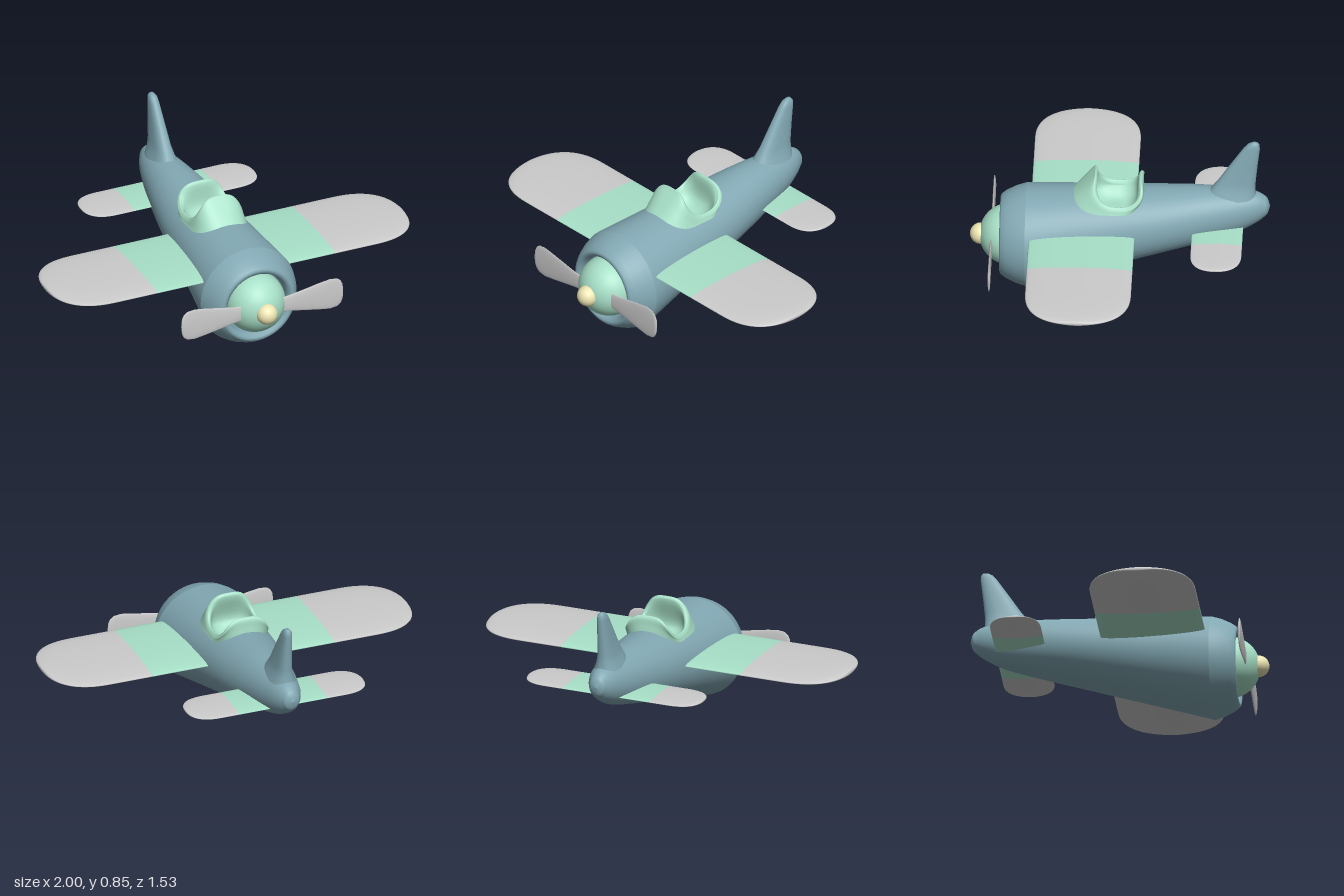
import * as THREE from 'three';

const mat = (color) => new THREE.MeshStandardMaterial({ color, side: THREE.DoubleSide });
const V = (x, y, z) => new THREE.Vector3(x, y, z);
const pw = (v, p) => Math.sign(v) * Math.abs(v) ** p;
const ring = (n, f) => Array.from({ length: n }, (_, i) => f((i / n) * Math.PI * 2));
const steps = (n, f) => Array.from({ length: n + 1 }, (_, i) => f(i / n));

// Skin a list of closed rings; skip(centroid) leaves out faces to cut an opening
function loft(rings, skip = () => false) {
  const n = rings[0].length, pts = rings.flat(), index = [];
  const face = (a, b, c) => {
    const m = pts[a].clone().add(pts[b]).add(pts[c]).divideScalar(3);
    if (!skip(m)) index.push(a, b, c);
  };
  for (let i = 0; i < rings.length - 1; i++) {
    for (let j = 0; j < n; j++) {
      const a = i * n + j, b = i * n + (j + 1) % n;
      face(a, b, a + n);
      face(b, b + n, a + n);
    }
  }
  const g = new THREE.BufferGeometry().setFromPoints(pts);
  g.setIndex(index);
  g.computeVertexNormals();
  return g;
}

// Fuselage stations: z, then bottom, top and half width
const stations = [
  [-0.765, 0.47, 0.47, 0], [-0.755, 0.435, 0.505, 0.03], [-0.73, 0.405, 0.532, 0.05],
  [-0.68, 0.368, 0.553, 0.075], [-0.6, 0.325, 0.563, 0.1], [-0.4, 0.26, 0.568, 0.145],
  [-0.2, 0.203, 0.56, 0.18], [0, 0.145, 0.552, 0.205], [0.25, 0.072, 0.545, 0.235],
  [0.48, 0.005, 0.535, 0.265],
];
const spline = new THREE.CubicInterpolant(stations.map((s) => s[0]), stations.flatMap((s) => s.slice(1)), 3);
function body(z) {
  const [lo, hi, w] = spline.evaluate(z);
  return { mid: (lo + hi) / 2, h: (hi - lo) / 2, w };
}

function fuselage() {
  const rings = steps(90, (u) => {
    const z = -0.765 + 1.245 * u ** 1.5, { mid, h, w } = body(z);
    return ring(80, (a) => V(w * Math.cos(a), mid + h * Math.sin(a), z));
  });
  const cockpitHole = (p) => p.y > 0.4 && Math.abs(p.x / 0.135) ** 3 + Math.abs((p.z - 0.06) / 0.165) ** 3 < 1;
  return loft(rings, cockpitHole);
}

// Cockpit shell: from the skin up over the windshield and headrest, down into the tub
function cockpit() {
  const columns = ring(96, (t) => {
    const c = Math.sin(t), s = Math.cos(t);
    const bx = 0.155 * pw(c, 0.7), bz = 0.06 + 0.185 * pw(s, 0.7), b = body(bz);
    const base = V(bx, b.mid + b.h * Math.sqrt(1 - (bx / b.w) ** 2) - 0.01, bz);
    const rx = 0.13 * pw(c, 0.6), rz = 0.115 * pw(s, 0.5) + 0.05 * s * (1 - s * s);
    const ry = 0.525 + (s > 0 ? 0.14 : 0.112) * Math.abs(s) ** 1.5;
    const outer = V(rx * 1.08, ry - 0.012, 0.01 + rz * 1.1);
    const wx = 0.115 * pw(c, 0.7), wz = (s > 0 ? 0.13 : 0.105) * pw(s, 0.7);
    return new THREE.CatmullRomCurve3([
      base, base.clone().lerp(outer, 0.5), outer,
      V(rx, ry, 0.01 + rz), V(rx * 0.92, ry - 0.014, 0.01 + rz * 0.9),
      V(wx, 0.5, 0.02 + wz), V(wx * 0.6, 0.455, 0.02 + wz * 0.6), V(0, 0.45, 0.02),
    ]);
  });
  return loft(steps(42, (u) => columns.map((curve) => curve.getPoint(u))));
}

// Lens-section wing with rounded tips, cut to the span x0..x1
function wing(x0, x1, { tip, round, z, chord, y, thick }) {
  const xs = steps(28, (u) => {
    if (x0 < 0 && x1 > 0) return x0 + (x1 - x0) * u;
    return x1 > 0 ? x0 + (x1 - x0) * Math.sin(u * Math.PI / 2) : x1 + (x0 - x1) * Math.cos(u * Math.PI / 2);
  });
  return loft(xs.map((x) => {
    const e = Math.min(1, Math.max(0, (Math.abs(x) - tip + round) / round));
    const k = Math.max(0, 1 - e ** 2.5) ** 0.4;
    return ring(40, (a) => V(x, y + thick * Math.sqrt(k) * Math.cos(a), z + chord * k * Math.sin(a)));
  }));
}

// Tail fin sections: y, front z, back z, half thickness
function fin() {
  return loft([
    [0.53, -0.44, -0.695, 0.07], [0.575, -0.465, -0.69, 0.052], [0.62, -0.5, -0.692, 0.042],
    [0.72, -0.565, -0.702, 0.033], [0.815, -0.628, -0.713, 0.025], [0.84, -0.65, -0.711, 0.021],
    [0.852, -0.67, -0.702, 0.012], [0.855, -0.685, -0.69, 0],
  ].map(([y, f, b, w]) => ring(32, (a) =>
    V(w * pw(Math.sin(a), 0.8), y, (f + b) / 2 + ((f - b) / 2) * pw(Math.cos(a), 0.8)))));
}

// Propeller blade sections: x, half height
function blade() {
  return loft([
    [0.1, 0.04], [0.16, 0.047], [0.24, 0.062], [0.32, 0.077], [0.38, 0.086], [0.42, 0.081],
    [0.44, 0.066], [0.45, 0.045], [0.455, 0],
  ].map(([x, h]) => ring(24, (a) => V(x, h * Math.cos(a), (h ? 0.007 : 0) * Math.sin(a)))));
}

export function createModel() {
  const model = new THREE.Group();
  const blue = mat(0x82a8b3), green = mat(0xa8e0c8), yellow = mat(0xeee6b4), grey = mat(0xcccccc);
  const add = (name, geometry, material, parent = model) => {
    const mesh = new THREE.Mesh(geometry, material);
    mesh.name = name;
    parent.add(mesh);
    return mesh;
  };

  add('fuselage', fuselage(), blue);
  add('cockpit', cockpit(), green);
  add('tailFin', fin(), blue);

  // Engine cowl with a rolled front lip and closed back
  const cowl = [[0.265, 0.48], [0.25, 0.53], [0.226, 0.58], [0.208, 0.605], [0.198, 0.612], [0.186, 0.611],
    [0.173, 0.6], [0.166, 0.575], [0.165, 0.47], [0, 0.47]].map(([r, z]) => new THREE.Vector2(r, z));
  const cowlMesh = add('engineCowl', new THREE.LatheGeometry(cowl, 80), blue);
  cowlMesh.rotation.x = Math.PI / 2;
  cowlMesh.position.y = 0.27;

  // Spinner, nose cap and propeller
  add('spinner', new THREE.SphereGeometry(0.158, 48, 32), green).position.set(0, 0.27, 0.562);
  add('noseCap', new THREE.SphereGeometry(0.055, 32, 24), yellow).position.set(0, 0.27, 0.712);
  const propeller = new THREE.Group();
  propeller.name = 'propeller';
  propeller.position.set(0, 0.27, 0.655);
  model.add(propeller);
  for (const turn of [0, Math.PI]) add('propellerBlade', blade(), grey, propeller).rotation.y = turn;

  // Main wing and tailplane: coloured centre with grey tips
  const planes = {
    wing: { tip: 1, round: 0.28, z: 0.19, chord: 0.27, y: 0.38, thick: 0.02, split: 0.5 },
    tailplane: { tip: 0.485, round: 0.15, z: -0.5, chord: 0.13, y: 0.381, thick: 0.01, split: 0.243 },
  };
  for (const [name, p] of Object.entries(planes)) {
    add(name + 'Centre', wing(-p.split, p.split, p), green);
    add(name + 'LeftTip', wing(p.split, p.tip, p), grey);
    add(name + 'RightTip', wing(-p.tip, -p.split, p), grey);
  }
  return model;
}
